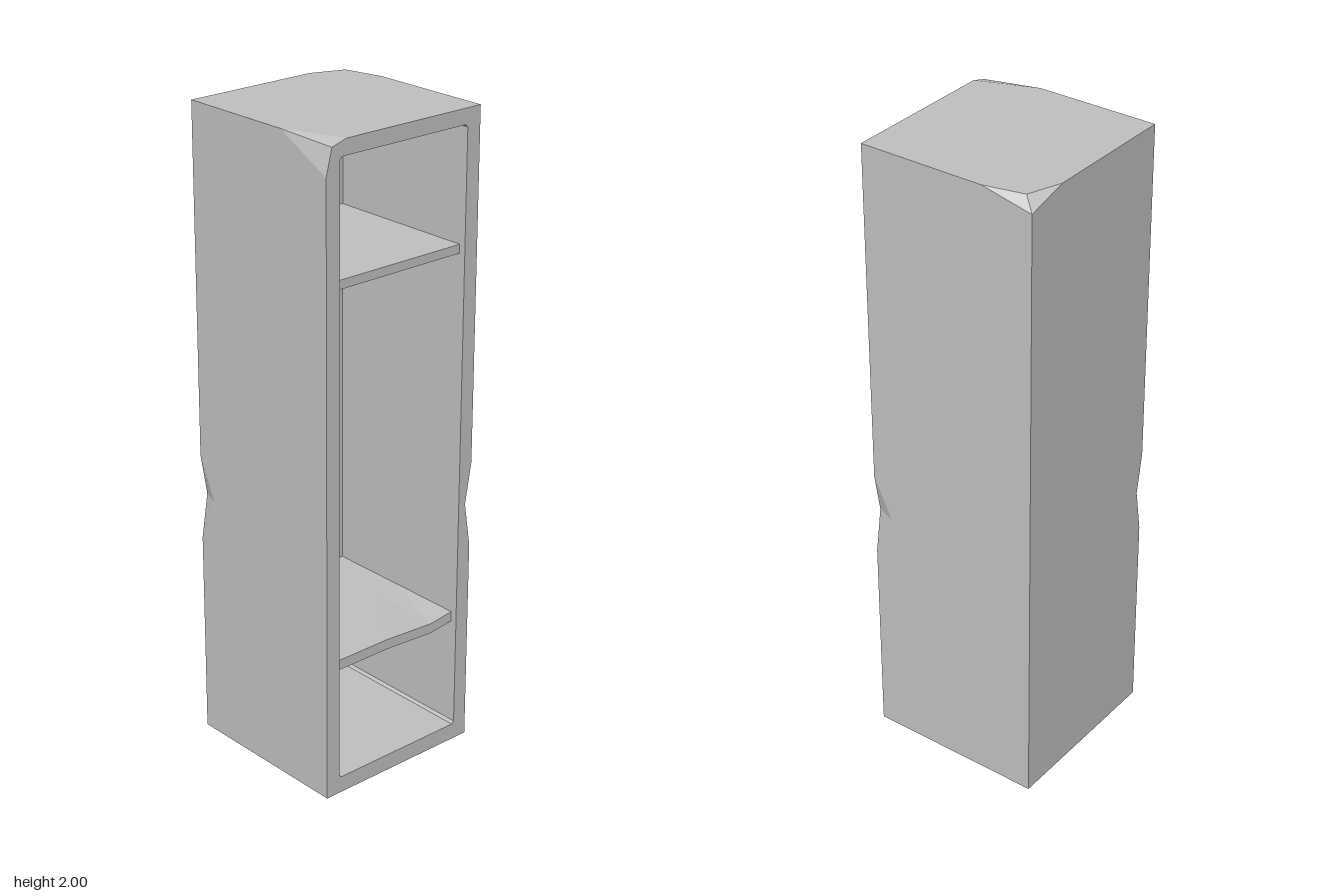
import * as THREE from 'three';

const W = 0.283, H = 2, BACK = -0.233;

// Collects flat polygons; each one is wound to agree with its outward direction.
function createFaces() {
  const out = [];
  const tri = (a, b, c, dir) => {
    const [A, B, C] = [a, b, c].map((p) => new THREE.Vector3(...p));
    const n = B.clone().sub(A).cross(C.clone().sub(A));
    out.push(...(n.dot(new THREE.Vector3(...dir)) > 0 ? [a, b, c] : [a, c, b]).flat());
  };
  const poly = (dir, pts, hole = []) => {
    const axis = dir.findIndex((d) => d !== 0);
    const flat = (list) => list.map((p) => new THREE.Vector2(...p.filter((_, i) => i !== axis)));
    const all = [...pts, ...hole];
    const tris = THREE.ShapeUtils.triangulateShape(flat(pts), hole.length ? [flat(hole)] : []);
    for (const [a, b, c] of tris) tri(all[a], all[b], all[c], dir);
  };
  const geometry = () => {
    const g = new THREE.BufferGeometry();
    g.setAttribute('position', new THREE.Float32BufferAttribute(out, 3));
    g.computeVertexNormals();
    return g;
  };
  return { tri, poly, geometry };
}

// Opening outline with slightly clipped corners, at depth z
function opening(z) {
  const x = 0.235, lo = 0.052, hi = 1.953, c = 0.008;
  return [[-x + c, lo], [x - c, lo], [x, lo + c], [x, hi - c],
    [x - c, hi], [-x + c, hi], [-x, hi - c], [-x, lo + c]].map(([px, py]) => [px, py, z]);
}

// Outer walls with two edge dents and two chipped top corners
function caseGeometry() {
  const f = createFaces();
  // dent points for the front right edge (s = 1) and the back left edge (s = -1)
  const dent = (s) => ({
    top: [s * W, 0.92, s * W], bottom: [s * W, 0.65, s * W],
    face: [s * 0.261, 0.79, s * W], side: [s * W, 0.79, s * 0.223],
  });
  const d1 = dent(1), d2 = dent(-1);

  // front left chip
  const chipSide = [-W, H, 0.1], chipFront = [-0.213, H, W];
  const chipLow = [-W, 1.905, W], chipMid = [-0.263, 1.985, W];
  // back right chip
  const cutBack = [0.15, H, -W], cutSide = [W, H, -0.12];
  const cutMid = [0.255, H, -0.245], cutLow = [W, 1.965, -W];

  f.poly([0, 0, 1], [[-W, 0, W], [W, 0, W], d1.bottom, d1.face, d1.top, [W, H, W],
    chipFront, chipMid, chipLow], opening(W));
  f.poly([0, 0, -1], [[W, 0, -W], [-W, 0, -W], d2.bottom, d2.face, d2.top, [-W, H, -W],
    cutBack, cutLow]);
  f.poly([1, 0, 0], [[W, 0, W], [W, 0, -W], cutLow, cutSide, [W, H, W],
    d1.top, d1.side, d1.bottom]);
  f.poly([-1, 0, 0], [[-W, 0, -W], [-W, 0, W], chipLow, chipSide, [-W, H, -W],
    d2.top, d2.side, d2.bottom]);
  f.poly([0, 1, 0], [chipSide, chipFront, [W, H, W], cutSide, cutMid, cutBack, [-W, H, -W]]);
  f.poly([0, -1, 0], [[-W, 0, -W], [W, 0, -W], [W, 0, W], [-W, 0, W]]);

  // dent and chip facets
  for (const [s, d] of [[1, d1], [-1, d2]]) {
    f.tri(d.top, d.face, d.side, [s, 0, s]);
    f.tri(d.bottom, d.face, d.side, [s, 0, s]);
  }
  f.tri(chipSide, chipMid, chipLow, [-1, 1, 1]);
  f.tri(chipSide, chipFront, chipMid, [-1, 1, 1]);
  f.tri(cutMid, cutBack, cutLow, [1, 1, -1]);
  f.tri(cutMid, cutLow, cutSide, [1, 1, -1]);
  return f.geometry();
}

// Inner walls and back panel, facing into the cavity
function interiorGeometry() {
  const f = createFaces();
  const front = opening(W), back = opening(BACK);
  f.poly([0, 0, 1], back);
  front.forEach((a, i) => {
    const j = (i + 1) % front.length, b = front[j];
    const inward = [-(b[1] - a[1]), b[0] - a[0], 0];
    f.tri(a, b, back[j], inward);
    f.tri(a, back[j], back[i], inward);
  });
  return f.geometry();
}

// Shelf board; a bent one sags along its front edge
function shelfGeometry(bent) {
  const thick = bent ? 0.032 : 0.027, front = 0.262;
  const box = new THREE.BoxGeometry(0.47, thick, front - BACK, bent ? 3 : 1, 1, bent ? 2 : 1);
  const p = box.attributes.position;
  const columns = [-0.235, -0.03, 0.15, 0.235];
  if (bent) {
    for (let i = 0; i < p.count; i++) {
      const k = Math.round((p.getX(i) / 0.47 + 0.5) * 3);
      p.setX(i, columns[k]);
      if (k === 2 && p.getZ(i) > 0.1) p.setY(i, p.getY(i) - 0.011);
    }
  }
  box.translate(0, 0, (front + BACK) / 2);
  const g = box.toNonIndexed();
  g.computeVertexNormals();
  return g;
}

export function createModel() {
  const group = new THREE.Group();
  group.name = 'openLocker';
  const greyMetal = new THREE.MeshStandardMaterial({ color: 0xc0c0c0 });
  greyMetal.name = 'greyMetal';

  const add = (name, geometry, y = 0) => {
    const mesh = new THREE.Mesh(geometry, greyMetal);
    mesh.name = name;
    mesh.position.y = y;
    group.add(mesh);
  };
  add('dentedCase', caseGeometry());
  add('interior', interiorGeometry());
  add('upperShelf', shelfGeometry(false), 1.587);
  add('bentLowerShelf', shelfGeometry(true), 0.416);
  return group;
}
